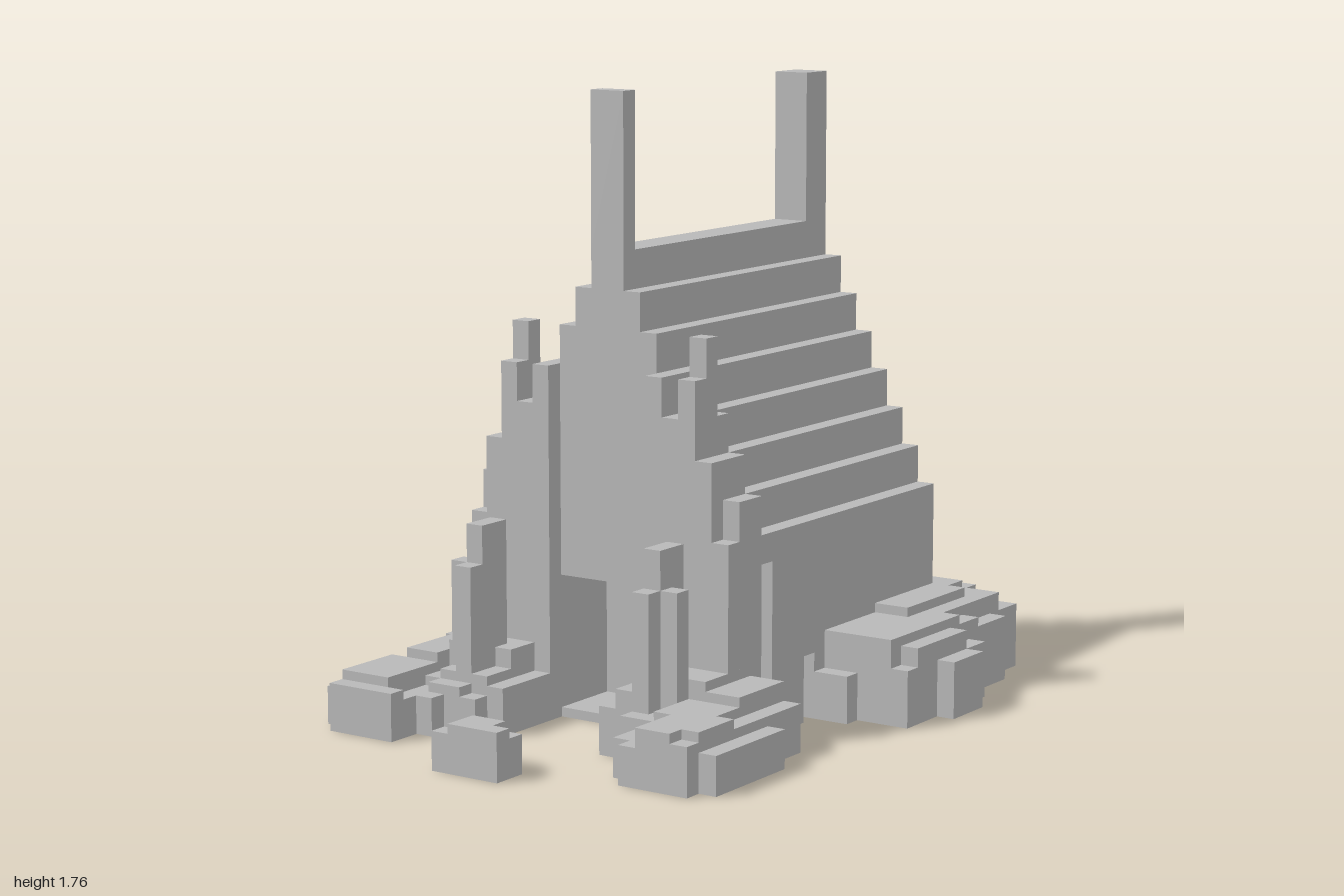
import * as THREE from 'three';
import { mergeGeometries } from 'three/addons/utils/BufferGeometryUtils.js';

const U = 2 / 74; // half a block

export function createModel() {
  const model = new THREE.Group();
  const stone = new THREE.MeshStandardMaterial({ color: 0xb8b8b8 });
  stone.name = 'plain grey stone';

  // Box between two corners, in half blocks
  const box = (x0, x1, y0, y1, z0, z1) =>
    new THREE.BoxGeometry((x1 - x0) * U, (y1 - y0) * U, (z1 - z0) * U)
      .translate((x0 + x1) / 2 * U, (y0 + y1) / 2 * U, (z0 + z1) / 2 * U);
  const add = (name, geometries) => {
    const mesh = new THREE.Mesh(mergeGeometries(geometries), stone);
    mesh.name = name;
    model.add(mesh);
  };
  // Columns standing on the ground: [x0, x1, z0, z1, height]
  const heap = (name, list) =>
    add(name, list.map(([x0, x1, z0, z1, h]) => box(x0, x1, 0, h, z0, z1)));

  // Walls, with a doorway at the front and two slots in the left wall
  add('walls', [
    box(-16, 14, 0, 21, -25, 5),
    box(-16, -6, 0, 21, 5, 13),
    box(6, 14, 0, 21, 5, 13),
    box(14, 16, 0, 21, -25, -1),
    box(14, 16, 7, 21, -1, 1),
    box(14, 16, 0, 21, 1, 7),
    box(14, 16, 18, 21, 7, 9),
    box(14, 16, 0, 21, 9, 13),
  ]);
  add('doorLintel', [box(-6, 6, 15, 21, 5, 13)]);
  add('doorFloor', [box(-6, 6, 0, 1, 5, 13)]);

  // Stepped roof
  const steps = [];
  for (let i = 0; i < 7; i++) {
    const half = 14 - 2 * i;
    steps.push(box(-half, half, 21 + 4 * i, 25 + 4 * i, -25, 13));
  }
  add('steppedRoof', steps);
  add('frontPost', [box(-2, 2, 49, 65, 11, 13)]);
  add('rearPost', [box(-2, 2, 49, 65, -25, -21)]);

  // Jagged front buttresses, spires beside the entrance
  const frontColumns = [
    [6, 8, 13, 15, 37], [8, 10, 13, 15, 33], [10, 12, 13, 15, 37],
    [12, 14, 13, 15, 29], [14, 16, 13, 15, 21],
    [14, 16, 9, 13, 25], [12, 14, 9, 13, 29], [10, 12, 9, 13, 33],
    [10, 12, 11, 13, 41],
  ];
  const spires = [[10, 12, 17, 21, 21], [12, 14, 19, 21, 17], [10, 12, 21, 23, 17]];
  for (const [side, s] of [['left', 1], ['right', -1]]) {
    const flip = ([a, b, ...rest]) => (s > 0 ? [a, b, ...rest] : [-b, -a, ...rest]);
    heap(side + 'Buttress', frontColumns.map(flip));
    heap(side + 'Spires', spires.map(flip));
  }

  // Rubble in front, left side
  heap('frontLeftRubble', [
    [16, 18, 9, 31, 6], [18, 22, 11, 31, 5], [6, 22, 15, 23, 5], [22, 24, 17, 29, 4],
    [10, 22, 23, 25, 5], [12, 22, 25, 29, 4], [14, 22, 29, 31, 4],
    [6, 8, 15, 19, 3], [8, 16, 15, 19, 8], [8, 12, 19, 23, 7],
    [16, 20, 11, 19, 7], [14, 20, 19, 25, 6], [16, 22, 23, 29, 6], [18, 20, 29, 31, 6],
  ]);
  // Rubble in front, right side
  heap('frontRightRubble', [
    [-22, -6, 13, 23, 5], [-24, -8, 23, 25, 4], [-24, -12, 25, 27, 4],
    [-24, -14, 27, 29, 4], [-22, -14, 29, 31, 5],
    [-16, -8, 15, 19, 8], [-14, -8, 19, 23, 6], [-20, -16, 13, 21, 7],
    [-22, -16, 21, 29, 6], [-14, -10, 23, 25, 5],
  ]);

  // Rubble along the left wall
  heap('leftSideRubble', [
    [16, 20, -3, -1, 5], [16, 26, -19, -3, 6], [16, 24, -27, -15, 7],
    [26, 28, -15, -9, 6], [24, 26, -15, -5, 8], [16, 24, -17, -3, 9],
    [16, 22, -29, -15, 9], [16, 20, -25, -13, 10], [22, 24, -21, -17, 8],
  ]);
  // Rubble along the right wall
  heap('rightSideRubble', [
    [-26, -16, -21, -7, 6], [-24, -16, -21, -9, 9], [-20, -16, -21, -11, 10],
    [-22, -16, -25, -21, 8], [-20, -16, -7, -5, 5], [-24, -16, -5, -3, 5],
    [-26, -16, -3, 7, 5], [-28, -26, -1, 3, 4], [-24, -16, 7, 9, 4],
    [-24, -18, -3, 5, 8], [-20, -16, -3, 3, 9], [-20, -16, 3, 7, 6],
  ]);
  // Rubble behind
  heap('backRubble', [
    [-16, -2, -37, -35, 5], [-14, -6, -37, -35, 7], [-18, 2, -35, -33, 7],
    [-18, 2, -33, -31, 8], [-18, 4, -31, -29, 9], [-20, 6, -29, -25, 9],
    [-14, -4, -35, -33, 9], [-14, -2, -33, -31, 10], [-12, 2, -31, -28, 11],
    [-10, 0, -28, -25, 12], [-16, 4, -29, -25, 10], [2, 4, -33, -31, 5],
    [6, 8, -29, -25, 6], [8, 22, -33, -29, 7], [14, 18, -35, -33, 5],
    [8, 22, -29, -25, 9], [10, 18, -31, -25, 9], [12, 18, -28, -25, 10],
  ]);

  // Loose block before the door
  heap('looseBlock', [[-4, -2, 35, 37, 4], [-2, 2, 33, 37, 5], [2, 4, 35, 37, 5], [2, 4, 33, 35, 4]]);

  return model;
}
